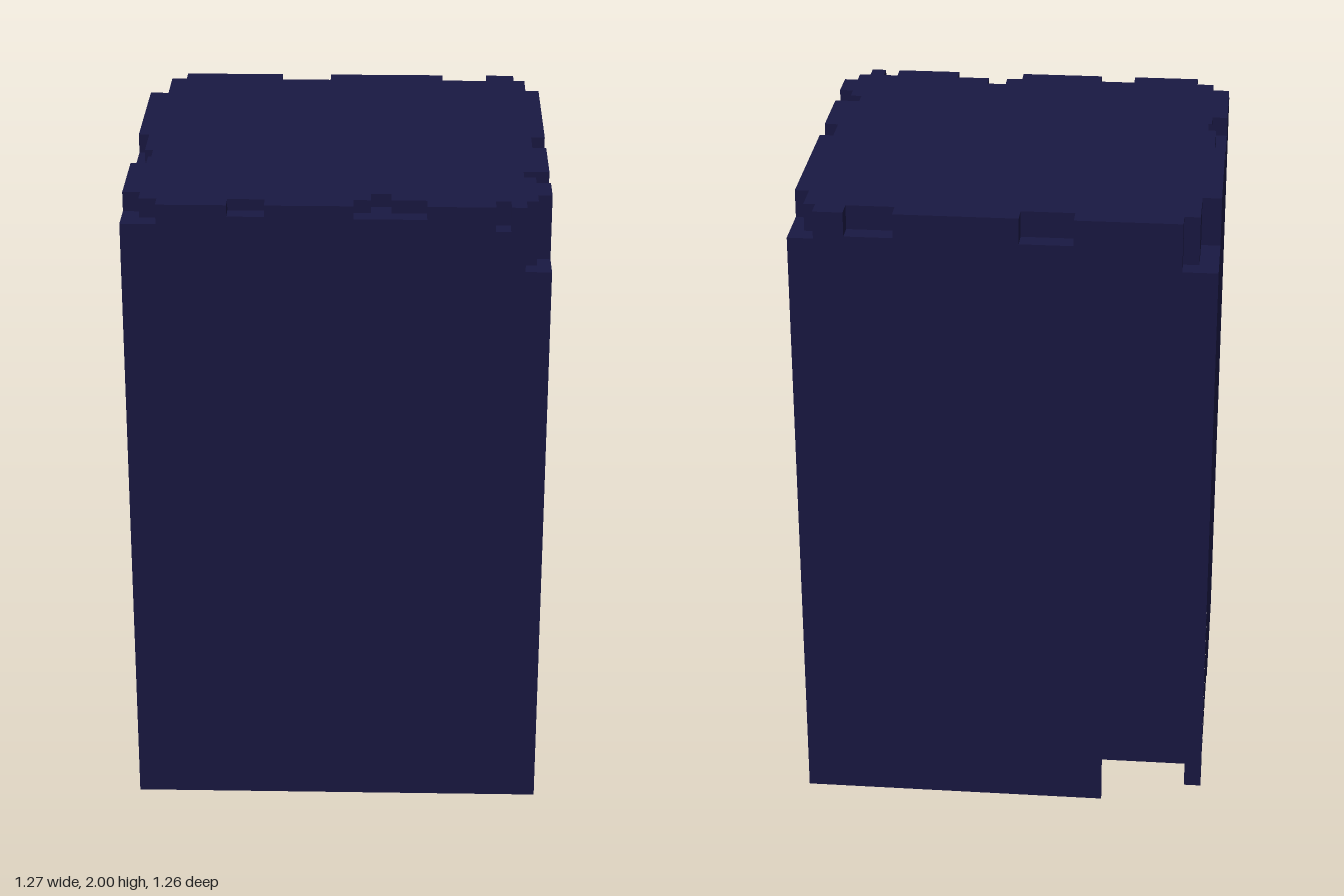
import * as THREE from 'three';

const W = 0.6325;   // half width
const SPLIT = 1.8;  // plain walls below, notched rim above
const TOP = 2;

// Notches cut into the rim: x0, x1, z0, z1, floor height
const NOTCHES = [
  // front edge
  [-W, -0.58, 0.527, W, 1.94], [-0.58, -0.527, 0.58, W, 1.94],
  [-0.32, -0.21, 0.58, W, 1.965],
  [0.05, 0.265, 0.58, W, 1.96], [0.1, 0.16, 0.527, 0.58, 1.96],
  [0.465, 0.51, 0.58, W, 1.925],
  [0.555, W, 0.58, W, SPLIT], [0.59, W, 0.527, 0.58, SPLIT],
  // +x edge
  [0.59, W, 0.32, 0.42, 1.925], [0.555, 0.59, 0.32, 0.37, 1.925],
  [0.59, W, 0, 0.1, 1.925],
  [0.59, W, -W, -0.47, 1.915], [0.555, 0.59, -W, -0.575, 1.915],
  // back edge
  [0.32, 0.465, -W, -0.575, 1.925],
  [-0.21, -0.05, -W, -0.575, 1.92],
  [-W, -0.527, -W, -0.575, 1.85], [-W, -0.575, -0.575, -0.422, 1.85],
  // -x edge
  [-W, -0.6, 0, 0.15, 1.94], [-W, -0.575, 0.15, 0.21, 1.94],
  [-W, -0.585, 0.21, 0.27, 1.94],
];

const sorted = (values) => [...new Set(values)].sort((a, b) => a - b);

function rimHeight(x, z) {
  if (Math.abs(x) > W || Math.abs(z) > W) return SPLIT;
  const n = NOTCHES.find(([x0, x1, z0, z1]) => x > x0 && x < x1 && z > z0 && z < z1);
  return n ? n[4] : TOP;
}

// Stepped surface: a flat per grid cell, and a riser wherever the height changes
function rimGeometry() {
  const xs = sorted([-W - 0.1, -W, W, W + 0.1, ...NOTCHES.flatMap((n) => [n[0], n[1]])]);
  const zs = sorted([-W - 0.1, -W, W, W + 0.1, ...NOTCHES.flatMap((n) => [n[2], n[3]])]);
  const pos = [];
  const quad = (a, b, c, d) => pos.push(...a, ...b, ...c, ...a, ...c, ...d);
  const h = (i, j) => rimHeight((xs[i] + xs[i + 1]) / 2, (zs[j] + zs[j + 1]) / 2);

  for (let i = 0; i < xs.length - 1; i++) {
    for (let j = 0; j < zs.length - 1; j++) {
      const [x0, x1, z0, z1, y] = [xs[i], xs[i + 1], zs[j], zs[j + 1], h(i, j)];
      const inside = i > 0 && j > 0 && i < xs.length - 2 && j < zs.length - 2;
      if (inside) quad([x0, y, z1], [x1, y, z1], [x1, y, z0], [x0, y, z0]);
      if (i < xs.length - 2) {
        const n = h(i + 1, j);
        const [lo, hi] = [Math.min(y, n), Math.max(y, n)];
        const [a, b] = y > n ? [z1, z0] : [z0, z1];
        if (hi > lo) quad([x1, lo, a], [x1, lo, b], [x1, hi, b], [x1, hi, a]);
      }
      if (j < zs.length - 2) {
        const n = h(i, j + 1);
        const [lo, hi] = [Math.min(y, n), Math.max(y, n)];
        const [a, b] = y > n ? [x0, x1] : [x1, x0];
        if (hi > lo) quad([a, lo, z1], [b, lo, z1], [b, hi, z1], [a, hi, z1]);
      }
    }
  }
  const geo = new THREE.BufferGeometry();
  geo.setAttribute('position', new THREE.Float32BufferAttribute(pos, 3));
  geo.computeVertexNormals();
  return geo;
}

// Flat wall whose lower edge runs through the given points, left to right
function wallGeometry(lowerEdge) {
  const pts = [...lowerEdge, [W, SPLIT], [-W, SPLIT]];
  return new THREE.ShapeGeometry(new THREE.Shape(pts.map((p) => new THREE.Vector2(...p))));
}

export function createModel() {
  const model = new THREE.Group();
  model.name = 'hollowBlock';
  const navy = new THREE.MeshStandardMaterial({ color: 0x191842, side: THREE.DoubleSide });
  const grey = new THREE.MeshStandardMaterial({ color: 0xcccccc, side: THREE.DoubleSide });

  const add = (name, geometry, material = navy) => {
    const mesh = new THREE.Mesh(geometry, material);
    mesh.name = name;
    model.add(mesh);
    return mesh;
  };

  add('notchedTop', rimGeometry());

  // Four thin walls around an open bottom; two have broken lower edges
  const straight = [[-W, 0], [W, 0]];
  const brokenBack = [[-W, 0], [0.316, 0], [0.316, 0.15], [0.58, 0.15], [0.58, 0.07], [W, 0.07]];
  const brokenSide = [
    [-W, 0.07], [-0.56, 0.07], [-0.56, 0.68], [-0.55, 0.68], [-0.55, 0.15],
    [-0.2, 0.14], [0.01, 0.1], [0.107, 0], [W, 0],
  ];
  const walls = [
    ['frontWall', straight], ['leftWall', straight],
    ['backWall', brokenBack], ['rightWall', brokenSide],
  ];
  walls.forEach(([name, edge], i) => {
    const wall = add(name, wallGeometry(edge));
    const angle = (i * Math.PI) / 2;
    wall.rotation.y = angle;
    wall.position.set(W * Math.sin(angle), 0, W * Math.cos(angle));
  });

  // Small pale chip below the middle notch of the left wall
  const chipShape = new THREE.Shape([[-0.1, 1.9], [0, 1.885], [0, 1.925], [-0.1, 1.925]]
    .map((p) => new THREE.Vector2(...p)));
  const chip = add('paleChip', new THREE.ShapeGeometry(chipShape), grey);
  chip.rotation.y = Math.PI / 2;
  chip.position.x = W + 0.002;

  return model;
}
